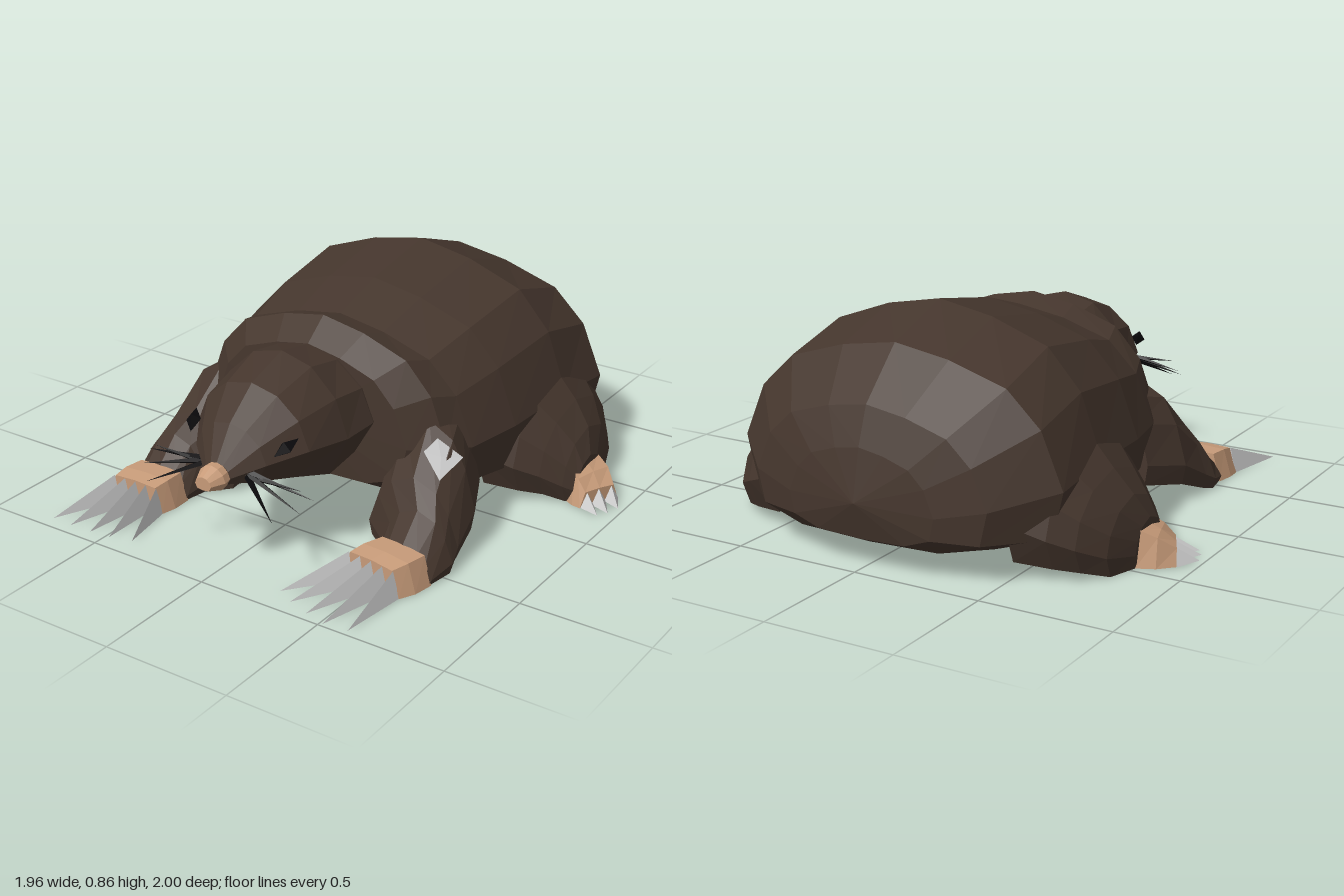
import * as THREE from 'three';

const material = (name, color) =>
  Object.assign(new THREE.MeshStandardMaterial({ color, flatShading: true }), { name });

// Half cross-sections as [share of half width, share of height], from top to bottom
const BODY = [[0, 1], [0.33, 0.95], [0.67, 0.85], [0.87, 0.67], [1, 0.38], [0.94, 0.13], [0.6, 0.02], [0, 0]];
const HEAD = [[0, 1], [0.45, 0.93], [0.82, 0.72], [1, 0.42], [0.72, 0.08], [0, 0]];
const ARM = [[0, 1], [0.5, 0.86], [0.78, 0.6], [1, 0.2], [0.93, 0], [0, 0]];
const HAUNCH = [[0, 1], [0.55, 0.87], [0.88, 0.6], [1, 0.3], [0.85, 0], [0, 0]];
const FOOT = [[0, 1], [0.75, 0.95], [1, 0], [0, 0]];

const fullSection = (half) => [...half, ...half.slice(1, -1).reverse().map(([u, v]) => [-u, v])];

// Ring facing along z: centre x, half width, bottom, top, slant
const ringZ = (half, z, cx, hw, lo, hi, yaw = 0) =>
  fullSection(half).map(([u, v]) => [cx + u * hw, lo + v * (hi - lo), z + u * hw * yaw]);

// Ring facing along x: centre z, half width, bottom, top, slant
const ringX = (half, x, cz, hw, lo, hi, yaw = 0) =>
  fullSection(half).map(([u, v]) => [x + u * hw * yaw, lo + v * (hi - lo), cz + u * hw]);

// Skin a closed solid over rings, with a fan to a centre point at each end
function loft(rings, startTip, endTip) {
  const n = rings[0].length;
  const middle = (r) => [0, 1, 2].map((k) => r.reduce((sum, p) => sum + p[k], 0) / n);
  const last = rings[rings.length - 1];
  const start = startTip || middle(rings[0]);
  const end = endTip || middle(last);
  const tris = [];
  for (let j = 0; j < n; j++) {
    const k = (j + 1) % n;
    tris.push([start, rings[0][k], rings[0][j]], [end, last[j], last[k]]);
    for (let i = 0; i + 1 < rings.length; i++) {
      const [a, b] = [rings[i], rings[i + 1]];
      tris.push([a[j], a[k], b[k]], [a[j], b[k], b[j]]);
    }
  }
  // Turn the faces outward if the signed volume is negative
  const volume = tris.reduce((sum, [a, b, c]) => sum
    + a[0] * (b[1] * c[2] - b[2] * c[1])
    + a[1] * (b[2] * c[0] - b[0] * c[2])
    + a[2] * (b[0] * c[1] - b[1] * c[0]), 0);
  if (volume < 0) tris.forEach((t) => t.reverse());
  const geometry = new THREE.BufferGeometry();
  geometry.setAttribute('position', new THREE.Float32BufferAttribute(tris.flat(2), 3));
  geometry.computeVertexNormals();
  return geometry;
}

// Claw: a tent-shaped spike from its base to a tip on the ground
function claw(base, tip, halfWidth, height) {
  const dx = tip[0] - base[0], dz = tip[1] - base[1], len = Math.hypot(dx, dz);
  const px = (-dz / len) * halfWidth, pz = (dx / len) * halfWidth;
  return loft([[
    [base[0] + px, 0, base[1] + pz],
    [base[0], height, base[1]],
    [base[0] - px, 0, base[1] - pz],
  ]], null, [tip[0], 0.004, tip[1]]);
}

// Thin spike between two points
function spike(from, to, radius) {
  const a = new THREE.Vector3(...from), b = new THREE.Vector3(...to);
  const geometry = new THREE.ConeGeometry(radius, a.distanceTo(b), 4);
  const turn = new THREE.Quaternion().setFromUnitVectors(new THREE.Vector3(0, 1, 0), b.clone().sub(a).normalize());
  const mid = a.add(b).multiplyScalar(0.5);
  return geometry.applyQuaternion(turn).translate(mid.x, mid.y, mid.z);
}

export function createModel() {
  const model = new THREE.Group();
  model.name = 'mole';
  const fur = material('brown fur', 0x45362d);
  const skin = material('pink skin', 0xc79b79);
  const horn = material('claw grey', 0xcfcfcf);
  const black = material('black', 0x0b0a0c);
  const add = (name, geometry, mat, parent = model) => {
    const mesh = new THREE.Mesh(geometry, mat);
    mesh.name = name;
    parent.add(mesh);
    return mesh;
  };

  // Body: z, half width, bottom, top
  const bodyRings = [
    [-0.96, 0.3, 0.11, 0.44], [-0.91, 0.48, 0.085, 0.58], [-0.73, 0.67, 0.06, 0.76],
    [-0.44, 0.665, 0.045, 0.86], [-0.1, 0.635, 0.06, 0.8], [0.13, 0.585, 0.09, 0.73],
    [0.24, 0.54, 0.11, 0.76], [0.34, 0.43, 0.17, 0.68],
  ].map(([z, hw, lo, hi]) => ringZ(BODY, z, 0, hw, lo, hi));
  add('body', loft(bodyRings, [0, 0.25, -1], [0, 0.4, 0.36]), fur);

  // Head tapering to the snout
  const headRings = [
    [0.22, 0.27, 0.32, 0.66], [0.35, 0.295, 0.27, 0.68], [0.5, 0.285, 0.235, 0.71],
    [0.68, 0.245, 0.3, 0.65], [0.81, 0.155, 0.33, 0.545], [0.89, 0.06, 0.345, 0.425],
  ].map(([z, hw, lo, hi]) => ringZ(HEAD, z, 0, hw, lo, hi));
  add('head', loft(headRings), fur);

  // Nose
  add('nose', loft([
    ringZ(HEAD, 0.87, 0, 0.055, 0.345, 0.425),
    ringZ(HEAD, 0.92, 0, 0.06, 0.335, 0.425),
    ringZ(HEAD, 0.97, 0, 0.035, 0.35, 0.4),
  ]), skin);

  // Front paws differ slightly from side to side
  const frontPaws = {
    '-1': { yaw: 0, cx: -0.565, z: 0.69, tips: [[-0.75, 0.95], [-0.66, 0.955], [-0.565, 0.955], [-0.48, 0.945], [-0.39, 0.92]] },
    '1': { yaw: 0.15, cx: 0.51, z: 0.69, tips: [[0.27, 0.9], [0.34, 0.94], [0.43, 0.97], [0.515, 0.995], [0.61, 0.98]] },
  };

  for (const s of [-1, 1]) {
    const side = s > 0 ? 'left' : 'right';
    const paw = frontPaws[s];

    // Front leg growing out of the shoulder
    add(side + 'FrontLeg', loft([
      [0.08, 0.42, 0.17, 0.1, 0.5, 0], [0.25, 0.47, 0.2, 0.07, 0.46, 0],
      [0.4, 0.5, 0.19, 0.015, 0.3, 0], [0.46, 0.555, 0.15, 0, 0.21, 0],
      [0.555, 0.555, 0.133, 0, 0.115, paw.yaw],
    ].map(([z, cx, hw, lo, hi, yaw]) => ringZ(ARM, z, s * cx, hw, lo, hi, yaw))), fur);

    // Front foot and its five claws
    const foot = new THREE.Group();
    foot.name = side + 'FrontFoot';
    model.add(foot);
    add('frontPaw', loft([
      ringZ(FOOT, 0.55, s * 0.555, 0.13, 0, 0.115, paw.yaw),
      ringZ(FOOT, 0.63, (s * 0.555 + paw.cx) / 2, 0.138, 0, 0.115, paw.yaw),
      ringZ(FOOT, paw.z, paw.cx, 0.13, 0, 0.105, paw.yaw),
    ]), skin, foot);
    paw.tips.forEach((tip, i) => {
      const offset = (i - 2) * 0.051;
      add('frontClaw', claw([paw.cx + offset, paw.z + offset * paw.yaw], tip, 0.027, 0.1), horn, foot);
    });

    // Haunch and hind leg swelling out of the flank
    add(side + 'HindLeg', loft([
      [0.5, -0.44, 0.39, 0.06, 0.56], [0.63, -0.44, 0.34, 0.045, 0.43],
      [0.71, -0.44, 0.28, 0.03, 0.34], [0.78, -0.42, 0.2, 0, 0.25], [0.82, -0.37, 0.11, 0, 0.16],
    ].map(([x, cz, hw, lo, hi]) => ringX(HAUNCH, s * x, cz, hw, lo, hi))), fur);

    // Hind foot turned outward and forward, with three claws
    const hind = new THREE.Group();
    hind.name = side + 'HindFoot';
    model.add(hind);
    add('hindPaw', loft([
      ringX(FOOT, s * 0.8, -0.365, 0.11, 0, 0.14, s * -0.15),
      ringX(FOOT, s * 0.85, -0.34, 0.105, 0, 0.11, s * -0.3),
      ringX(FOOT, s * 0.895, -0.31, 0.08, 0, 0.065, s * -0.5),
    ]), skin, hind);
    [[0.915, -0.365, 0.982, -0.3], [0.89, -0.31, 0.965, -0.245], [0.86, -0.265, 0.94, -0.207]].forEach(([x, z, tx, tz]) =>
      add('hindClaw', claw([s * x, z], [s * tx, tz], 0.034, 0.065), horn, hind));

    // Eye, slanting down toward the snout
    const eye = add(side + 'Eye', new THREE.OctahedronGeometry(1), black);
    eye.scale.set(0.028, 0.03, 0.055);
    eye.rotation.set(0.5, s * -0.4, 0);
    eye.position.set(s * 0.205, 0.485, 0.76);

    // Whiskers
    [[0.37, 0.35, 0.82], [0.35, 0.32, 0.88], [0.28, 0.295, 0.95], [0.33, 0.385, 0.84]].forEach(([x, y, z], i) =>
      add(side + 'Whisker', spike([s * 0.09, 0.395 - i * 0.006, 0.84], [s * x, y, z], 0.013), black));
  }

  // Pale patch on the left shoulder, a flat two-sided face
  add('shoulderPatch', loft([[[0.59, 0.3, 0.37], [0.615, 0.35, 0.25], [0.53, 0.42, 0.29], [0.51, 0.385, 0.35]]]), horn);

  return model;
}
